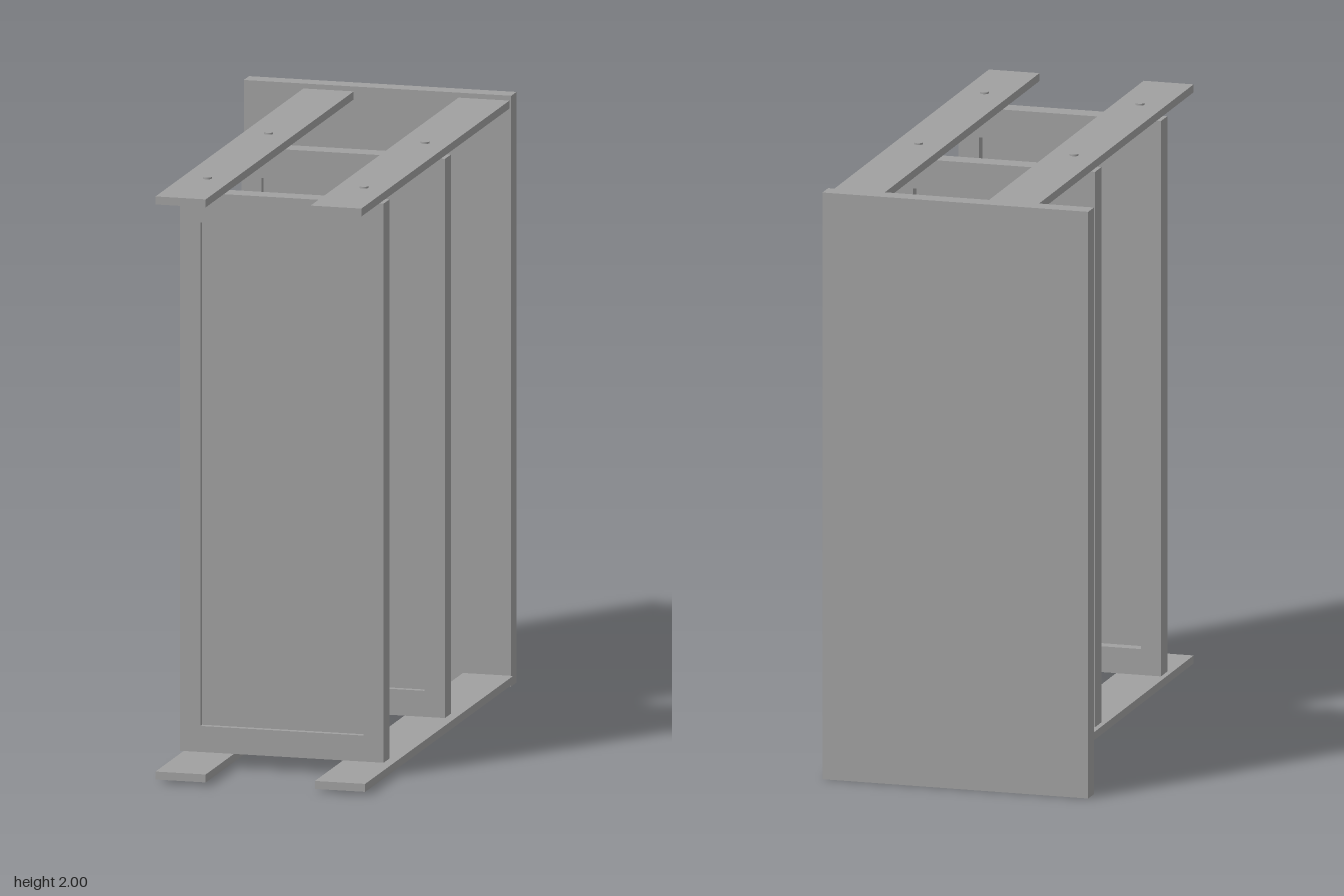
import * as THREE from 'three';

export function createModel() {
  const model = new THREE.Group();
  model.name = 'panelRack';
  const grey = new THREE.MeshStandardMaterial({ color: 0xa0a0a0 });
  grey.name = 'plain grey';

  const add = (name, geometry) => {
    const mesh = new THREE.Mesh(geometry, grey);
    mesh.name = name;
    model.add(mesh);
    return mesh;
  };
  // Box given by its extents on each axis
  const box = (name, x0, x1, y0, y1, z0, z1) =>
    add(name, new THREE.BoxGeometry(x1 - x0, y1 - y0, z1 - z0))
      .position.set((x0 + x1) / 2, (y0 + y1) / 2, (z0 + z1) / 2);

  // Back wall
  box('backWall', -0.466, 0.455, 0, 2, -0.932, -0.868);

  // Guide rails: a pair above and a pair below
  const rails = [
    ['topRightRail', -0.258, -0.085, 1.958],
    ['topLeftRail', 0.276, 0.451, 1.958],
    ['bottomRightRail', -0.258, -0.085, 0.011],
    ['bottomLeftRail', 0.291, 0.464, 0.011],
  ];
  for (const [name, x0, x1, y] of rails) box(name, x0, x1, y, y + 0.027, -0.86, 0.932);

  // Door frames with a thin panel set into the opening
  const rect = (Type, x0, x1, y0, y1) =>
    new Type([[x0, y0], [x1, y0], [x1, y1], [x0, y1]].map(p => new THREE.Vector2(...p)));
  const doors = [['front', 0.574], ['middle', -0.168]];
  for (const [name, z] of doors) {
    const outline = rect(THREE.Shape, -0.255, 0.446, 0.05, 1.943);
    outline.holes.push(rect(THREE.Path, -0.185, 0.376, 0.138, 1.842));
    const frame = new THREE.ExtrudeGeometry(outline, { depth: 0.071, bevelEnabled: false });
    add(name + 'DoorFrame', frame).position.z = z;
    box(name + 'DoorPanel', -0.187, 0.378, 0.136, 1.844, z + 0.042, z + 0.05);

    // Hinge pins showing just past the outer faces of the rails
    for (const x of [-0.171, 0.368]) {
      for (const y of [0.012, 1.984]) {
        add(name + 'HingePin', new THREE.CylinderGeometry(0.015, 0.015, 0.014, 20))
          .position.set(x, y, z + 0.036);
      }
    }
  }
  return model;
}
